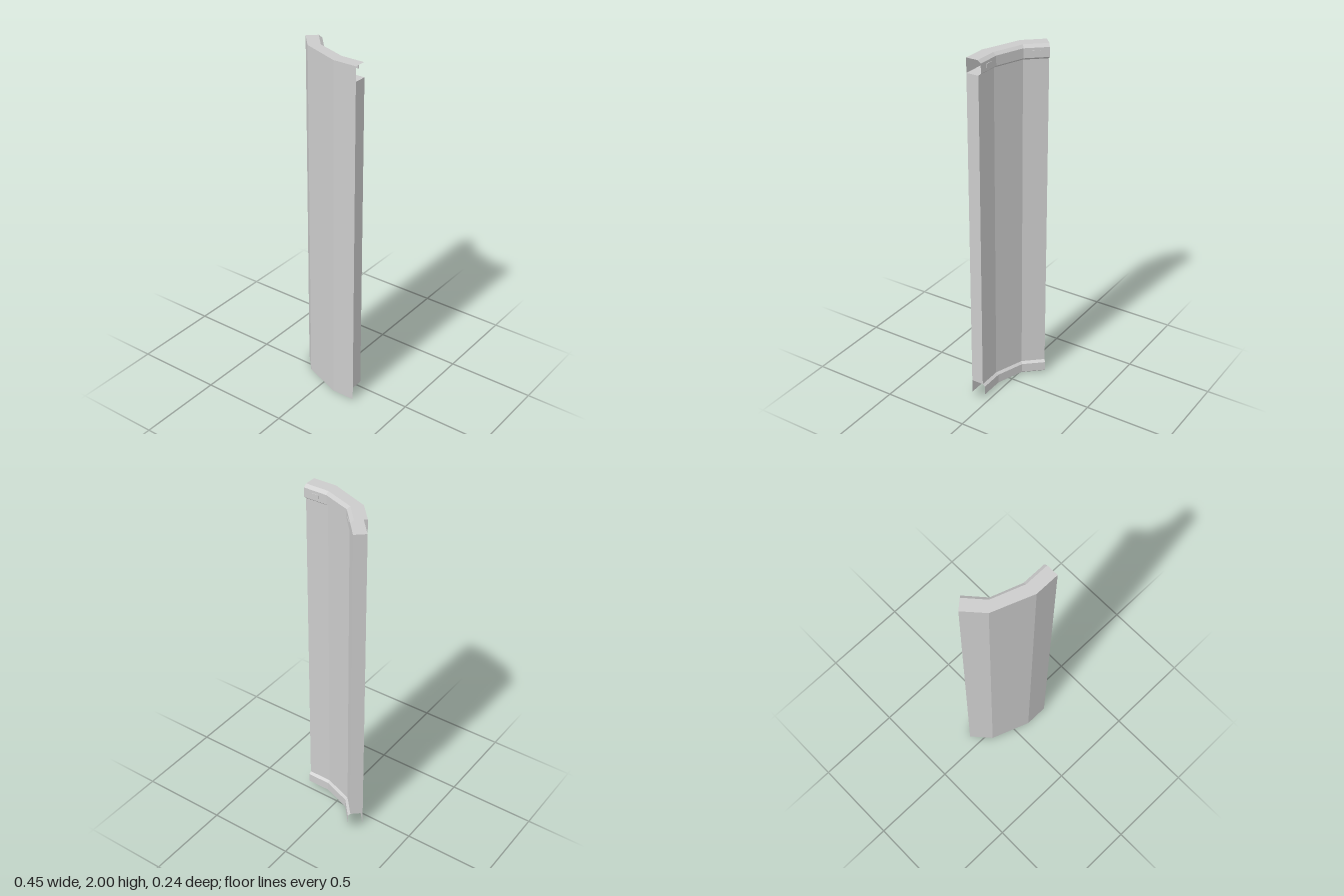
import * as THREE from 'three';

// Plan outlines of the bent panel as [x, z], from right end to left end
const FRONT = [[-0.226, -0.066], [-0.133, 0.037], [0.09, 0.121], [0.226, 0.121]];
const BACK = [[-0.162, -0.122], [-0.073, -0.022], [0.09, 0.035], [0.226, 0.035]];
const CORE = 0.83; // depth of the core as a share of the rail depth

// Point at station i, depth share t (0 = front, 1 = back) and height y
function point(i, [t, y]) {
  const [fx, fz] = FRONT[i], [bx, bz] = BACK[i];
  return [fx + (bx - fx) * t, y, fz + (bz - fz) * t];
}

function meshFrom(name, quads, side) {
  const positions = [];
  for (const [a, b, c, d] of quads) positions.push(...a, ...b, ...c, ...a, ...c, ...d);
  const geometry = new THREE.BufferGeometry();
  geometry.setAttribute('position', new THREE.Float32BufferAttribute(positions, 3));
  geometry.computeVertexNormals();
  const material = new THREE.MeshStandardMaterial({ color: 0xcccccc, flatShading: true, side });
  const mesh = new THREE.Mesh(geometry, material);
  mesh.name = name;
  return mesh;
}

// Sweep a [depth, height] profile along the bent plan
function sweep(name, profile, side = THREE.FrontSide) {
  const quads = [];
  for (let i = 0; i < FRONT.length - 1; i++) {
    for (let j = 0; j < profile.length - 1; j++) {
      quads.push([
        point(i, profile[j]), point(i + 1, profile[j]),
        point(i + 1, profile[j + 1]), point(i, profile[j + 1]),
      ]);
    }
  }
  return meshFrom(name, quads, side);
}

export function createModel() {
  const group = new THREE.Group();
  group.name = 'bentPanel';

  // Full-height front skin
  group.add(sweep('frontSheet', [[0, 0], [0, 2]], THREE.DoubleSide));

  // Core behind the skin, stopping short of both ends
  const core = [[0, 1.92], [CORE, 1.92], [CORE, 0.08], [0, 0.08]];
  group.add(sweep('core', core));
  for (const [name, i] of [['rightEdge', 0], ['leftEdge', FRONT.length - 1]]) {
    group.add(meshFrom(name, [core.map((p) => point(i, p))], THREE.DoubleSide));
  }

  // Hollow rails with bevelled lips, open at their ends
  const rail = [[0, 2], [0.79, 2], [1, 1.985], [1, 1.932], [CORE, 1.92]];
  group.add(sweep('topRail', rail));
  group.add(sweep('bottomRail', rail.map(([t, y]) => [t, 2 - y]).reverse()));

  // Small tabs on the outer bays of the top lip
  for (const [name, i] of [['rightTab', 0], ['leftTab', 2]]) {
    const [ax, az] = BACK[i], [bx, bz] = BACK[i + 1];
    const tab = new THREE.Mesh(
      new THREE.BoxGeometry(0.045, 0.02, 0.005),
      new THREE.MeshStandardMaterial({ color: 0xcccccc, flatShading: true }),
    );
    tab.name = name;
    tab.position.set((ax + bx) / 2, 1.96, (az + bz) / 2);
    tab.rotation.y = -Math.atan2(bz - az, bx - ax);
    group.add(tab);
  }
  return group;
}
